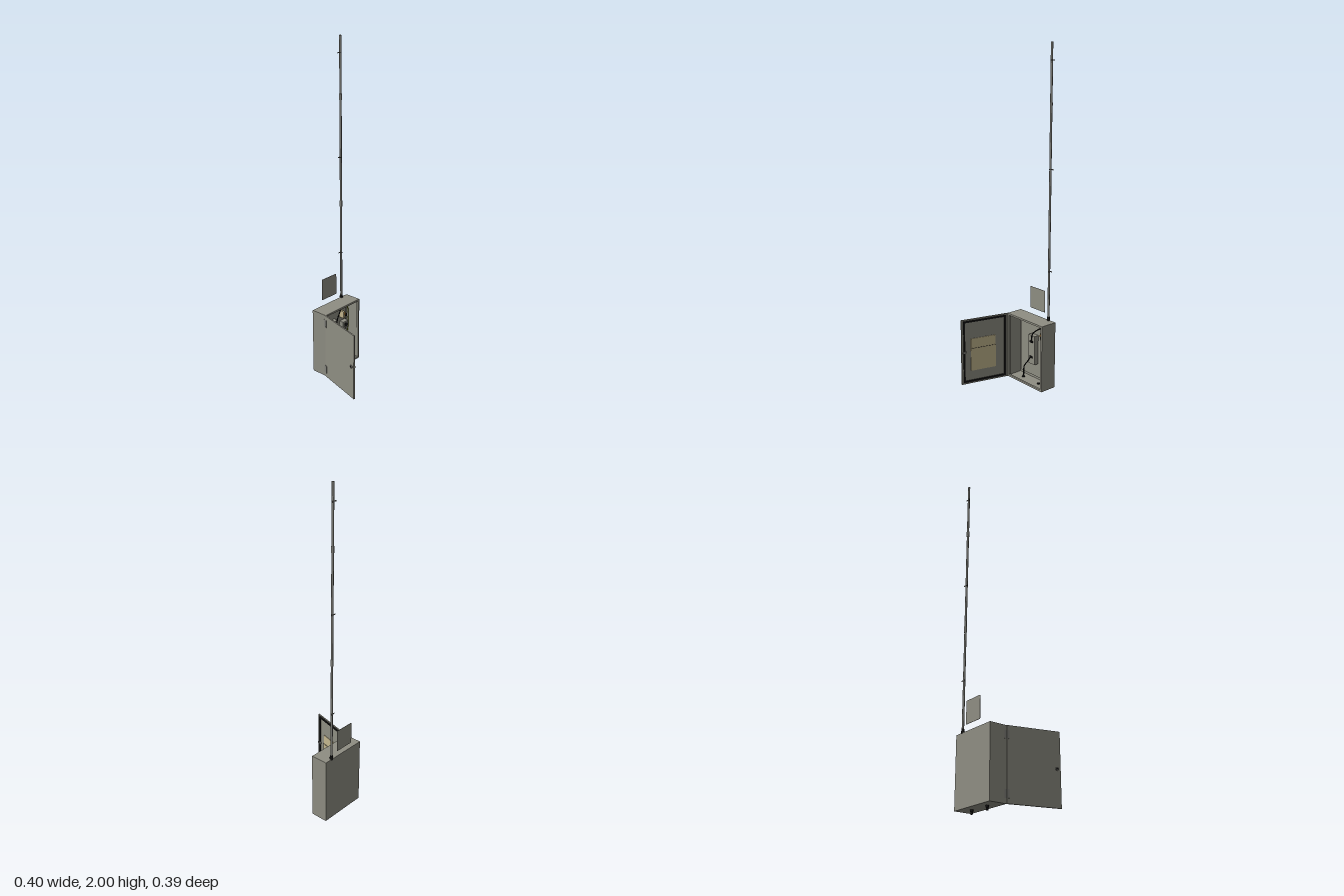
import * as THREE from 'three';

const mat = (name, color) => Object.assign(new THREE.MeshStandardMaterial({ color }), { name });

export function createModel() {
  const grey = mat('cabinet grey', 0x8f8e83);
  const steel = mat('steel grey', 0x85857f);
  const black = mat('black rubber', 0x161616);
  const beige = mat('pocket beige', 0xc4b78f);
  const green = mat('earth wire green', 0x8f9a1c);
  const orange = mat('breaker orange', 0xc88a3c);
  const root = new THREE.Group();
  root.name = 'outdoorCabinet';

  const add = (parent, name, geo, m, x = 0, y = 0, z = 0) => {
    const mesh = new THREE.Mesh(geo, m);
    mesh.name = name;
    mesh.position.set(x, y, z);
    parent.add(mesh);
    return mesh;
  };
  const box = (parent, name, m, w, h, d, x, y, z) =>
    add(parent, name, new THREE.BoxGeometry(w, h, d), m, x, y, z);
  const rod = (parent, name, m, r, h, x, y, z, sides = 20) =>
    add(parent, name, new THREE.CylinderGeometry(r, r, h, sides), m, x, y, z);
  const cable = (parent, name, m, r, pts) => add(parent, name, new THREE.TubeGeometry(
    new THREE.CatmullRomCurve3(pts.map(p => new THREE.Vector3(...p)), false, 'centripetal'), 40, r, 8), m);
  // Rectangular ring in the xy plane, centred on its origin
  const frame = (w, h, t, depth) => {
    const rect = (C, a, b) => new C([[-a, -b], [a, -b], [a, b], [-a, b]].map(p => new THREE.Vector2(...p)));
    const s = rect(THREE.Shape, w / 2, h / 2);
    s.holes.push(rect(THREE.Path, w / 2 - t, h / 2 - t));
    return new THREE.ExtrudeGeometry(s, { depth, bevelEnabled: false }).translate(0, 0, -depth / 2);
  };

  // Cabinet shell, open towards +x
  const cab = new THREE.Group();
  cab.name = 'cabinet';
  root.add(cab);
  const x0 = -0.197, x1 = -0.092, y0 = 0.025, y1 = 0.428, z0 = -0.193, z1 = 0.108, t = 0.004;
  const cx = (x0 + x1) / 2, cy = (y0 + y1) / 2, cz = (z0 + z1) / 2;
  const W = x1 - x0, H = y1 - y0, D = z1 - z0;
  box(cab, 'backWall', grey, t, H, D, x0 + t / 2, cy, cz);
  for (const s of [-1, 1]) {
    box(cab, s > 0 ? 'roof' : 'floor', grey, W, t, D, cx, cy + s * (H - t) / 2, cz);
    box(cab, 'sideWall', grey, W, H, t, cx, cy, cz + s * (D - t) / 2);
  }
  add(cab, 'openingLip', frame(D, H, 0.01, 0.003), grey, x1 - 0.0015, cy, cz).rotation.y = Math.PI / 2;
  add(cab, 'innerLip', frame(D - 0.016, H - 0.016, 0.003, 0.012), grey, x1 - 0.006, cy, cz).rotation.y = Math.PI / 2;
  box(cab, 'mountingPanel', grey, 0.003, 0.36, 0.26, -0.186, cy, cz);
  for (const z of [0.027, -0.105]) {
    rod(cab, 'cableGland', black, 0.009, 0.012, -0.15, 0.019, z, 6);
    rod(cab, 'glandTip', black, 0.006, 0.02, -0.15, 0.01, z);
    rod(cab, 'glandNut', black, 0.009, 0.006, -0.15, 0.032, z, 6);
  }

  // Equipment inside
  const gear = new THREE.Group();
  gear.name = 'equipment';
  root.add(gear);
  box(gear, 'controlUnit', grey, 0.03, 0.18, 0.053, -0.169, 0.223, -0.037);
  for (const y of [0.275, 0.178]) {
    box(gear, 'terminal', black, 0.008, 0.01, 0.022, -0.151, y, -0.038);
  }
  box(gear, 'socketBox', grey, 0.03, 0.045, 0.045, -0.17, 0.255, -0.138);
  add(gear, 'socketFace', new THREE.CylinderGeometry(0.013, 0.013, 0.004, 20).rotateZ(Math.PI / 2),
    black, -0.154, 0.255, -0.138);
  box(gear, 'breaker', beige, 0.035, 0.045, 0.014, -0.168, 0.328, -0.121);
  box(gear, 'breakerSwitch', black, 0.012, 0.018, 0.01, -0.147, 0.328, -0.13);
  box(gear, 'breakerTag', orange, 0.008, 0.012, 0.008, -0.148, 0.337, -0.121);
  cable(gear, 'lowerCable', black, 0.0035,
    [[-0.15, 0.03, 0.027], [-0.15, 0.1, 0.022], [-0.148, 0.135, -0.005], [-0.147, 0.178, -0.035]]);
  cable(gear, 'upperCable', black, 0.0035,
    [[-0.147, 0.275, -0.042], [-0.146, 0.33, -0.055], [-0.155, 0.36, -0.085], [-0.18, 0.395, -0.13], [-0.19, 0.425, -0.14]]);
  cable(gear, 'earthWire', green, 0.003,
    [[-0.185, 0.42, -0.142], [-0.175, 0.38, -0.168], [-0.17, 0.33, -0.178], [-0.17, 0.2, -0.174], [-0.17, 0.1, -0.178], [-0.175, 0.06, -0.168]]);

  // Door, swung wide open; local x runs from hinge to free edge, local -z is the inside
  const door = new THREE.Group();
  door.name = 'door';
  door.position.set(x1, cy, z1);
  door.rotation.y = -0.265;
  root.add(door);
  box(door, 'doorPanel', grey, 0.3, H, 0.003, 0.15, 0, 0.002);
  add(door, 'doorEdge', frame(0.3, H, 0.003, 0.006), grey, 0.15, 0, -0.0015);
  add(door, 'gasket', frame(0.272, H - 0.02, 0.009, 0.008), black, 0.15, 0, -0.003);
  box(door, 'pocketBack', beige, 0.16, 0.2, 0.003, 0.16, -0.022, -0.001);
  box(door, 'pocketFront', beige, 0.16, 0.14, 0.004, 0.16, -0.052, -0.004);
  box(door, 'pocketEdge', black, 0.16, 0.0015, 0.001, 0.16, 0.0185, -0.0062);
  const lock = (name, m, r, h, z) =>
    add(door, name, new THREE.CylinderGeometry(r, r, h, 20).rotateX(Math.PI / 2), m, 0.278, 0, z);
  lock('lockBody', steel, 0.009, 0.018, 0.001);
  lock('lockKeyhole', black, 0.005, 0.001, 0.0105);
  box(door, 'lockTongue', steel, 0.022, 0.01, 0.003, 0.285, 0, -0.01);
  // Hinges on the cabinet corner
  for (const y of [0.378, 0.075]) {
    box(root, 'hingeLeaf', steel, 0.014, 0.045, 0.002, -0.099, y, 0.109);
    rod(root, 'hingePin', steel, 0.003, 0.045, -0.091, y, 0.111, 12);
    box(door, 'hingeLeaf', steel, 0.012, 0.045, 0.002, 0.007, y - cy, 0.0042);
  }

  // Mast with joints and clips
  const mast = new THREE.Group();
  mast.name = 'mast';
  mast.position.set(-0.192, 0, -0.14);
  root.add(mast);
  rod(mast, 'mastTube', steel, 0.0065, 1.57, 0, 1.215, 0);
  rod(mast, 'baseGland', black, 0.008, 0.028, 0, 0.436, 0);
  rod(mast, 'baseNut', black, 0.01, 0.01, 0, 0.433, 0, 6);
  for (const y of [1.033, 1.662]) rod(mast, 'jointSleeve', steel, 0.008, 0.035, 0, y, 0);
  for (const y of [0.723, 1.312, 1.905]) {
    box(mast, 'clipBar', steel, 0.002, 0.006, 0.03, -0.007, y, 0);
    rod(mast, 'clipBand', black, 0.0072, 0.004, 0, y, 0);
  }

  // Flat sign plate with rounded corners, beside the mast
  const a = 0.0625, b = 0.066, r = 0.005, s = new THREE.Shape();
  s.absarc(a - r, b - r, r, 0, Math.PI / 2);
  s.absarc(r - a, b - r, r, Math.PI / 2, Math.PI);
  s.absarc(r - a, r - b, r, Math.PI, Math.PI * 1.5);
  s.absarc(a - r, r - b, r, Math.PI * 1.5, Math.PI * 2);
  const plate = new THREE.ExtrudeGeometry(s, { depth: 0.002, bevelEnabled: false, curveSegments: 4 });
  add(root, 'signPlate', plate, grey, -0.2, 0.529, -0.039).rotation.y = Math.PI / 2;

  return root;
}
